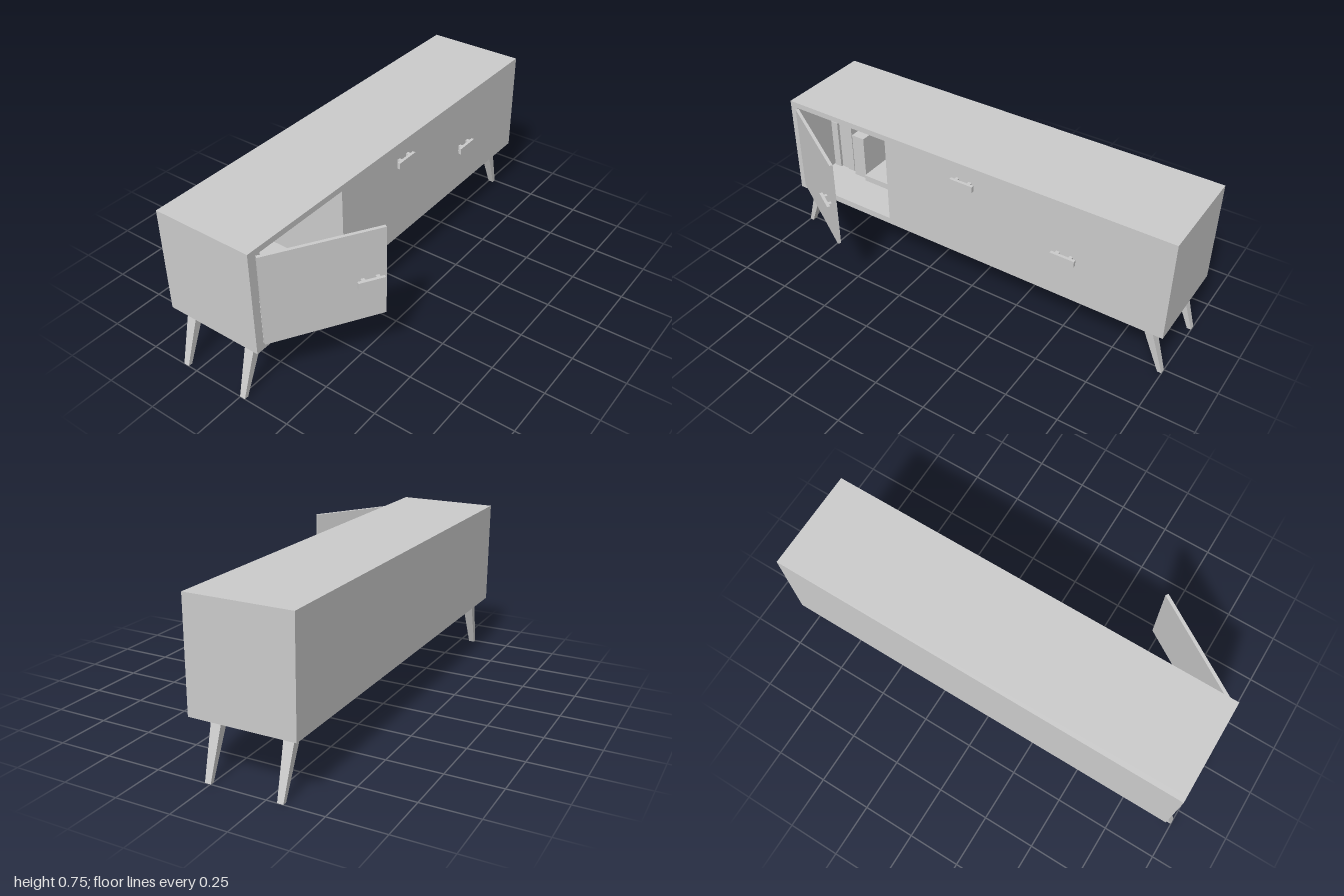
import * as THREE from 'three';

const material = new THREE.MeshStandardMaterial({ color: 0xcccccc, flatShading: true });

function add(parent, name, geometry) {
  const mesh = new THREE.Mesh(geometry, material);
  mesh.name = name;
  parent.add(mesh);
  return mesh;
}

// Box given by its lower and upper bounds on each axis
function block(parent, name, [x0, x1], [y0, y1], [z0, z1]) {
  const mesh = add(parent, name, new THREE.BoxGeometry(x1 - x0, y1 - y0, z1 - z0));
  mesh.position.set((x0 + x1) / 2, (y0 + y1) / 2, (z0 + z1) / 2);
  return mesh;
}

// Bar handle on two posts, standing on the plane z = 0
function handle(parent, name, x, y, z) {
  const group = new THREE.Group();
  group.name = name;
  group.position.set(x, y, z);
  block(group, 'handleBar', [-0.058, 0.058], [-0.015, 0.015], [0.013, 0.027]);
  for (const s of [-1, 1]) {
    const post = block(group, 'handlePost', [-0.008, 0.008], [-0.015, 0.015], [0, 0.013]);
    post.position.x = s * 0.032;
  }
  parent.add(group);
}

// Tapered square leg splayed outwards along x
function leg(parent, side, z) {
  const geometry = new THREE.BoxGeometry(1, 1, 1);
  const p = geometry.attributes.position;
  for (let i = 0; i < p.count; i++) {
    const top = p.getY(i) > 0;
    const x = side * (top ? 0.898 : 0.99) + p.getX(i) * (top ? 0.045 : 0.02);
    p.setXYZ(i, x, top ? 0.264 : 0, z + p.getZ(i) * (top ? 0.05 : 0.027));
  }
  geometry.computeVertexNormals();
  add(parent, 'leg', geometry);
}

export function createModel() {
  const model = new THREE.Group();
  model.name = 'sideboard';

  // Carcass with the open compartment cut through, closed by a back panel
  const outline = new THREE.Shape([
    new THREE.Vector2(-0.965, 0.262), new THREE.Vector2(1, 0.262),
    new THREE.Vector2(1, 0.755), new THREE.Vector2(-0.965, 0.755),
  ]);
  outline.holes.push(new THREE.Path([
    new THREE.Vector2(-0.925, 0.294), new THREE.Vector2(-0.925, 0.728),
    new THREE.Vector2(-0.41, 0.728), new THREE.Vector2(-0.41, 0.294),
  ]));
  const carcass = add(model, 'carcass',
    new THREE.ExtrudeGeometry(outline, { depth: 0.45, bevelEnabled: false }));
  carcass.position.z = -0.36;
  block(model, 'backPanel', [-0.965, 1], [0.262, 0.755], [-0.385, -0.36]);

  // Door swung open about its hinge edge
  const door = new THREE.Group();
  door.name = 'door';
  door.position.set(-0.921, 0, 0.087);
  door.rotation.y = -0.558;
  block(door, 'doorPanel', [0, 0.515], [0.291, 0.723], [0, 0.015]);
  handle(door, 'doorHandle', 0.443, 0.485, 0.015);
  model.add(door);

  // Handles on the closed fronts
  handle(model, 'drawerHandle', 0.017, 0.665, 0.09);
  handle(model, 'cupboardHandle', 0.524, 0.485, 0.09);

  // Legs
  for (const side of [-1, 1]) for (const z of [0.012, -0.311]) leg(model, side, z);

  // Books: left, right, top and front of each
  const books = [
    [-0.918, -0.88, 0.55, -0.12], [-0.876, -0.84, 0.57, -0.13],
    [-0.836, -0.797, 0.56, -0.125], [-0.777, -0.707, 0.525, -0.107],
  ];
  for (const [x0, x1, top, front] of books)
    block(model, 'standingBook', [x0, x1], [0.294, top], [-0.33, front]);
  block(model, 'lyingBook', [-0.7, -0.452], [0.294, 0.325], [-0.3, -0.09]);

  return model;
}
